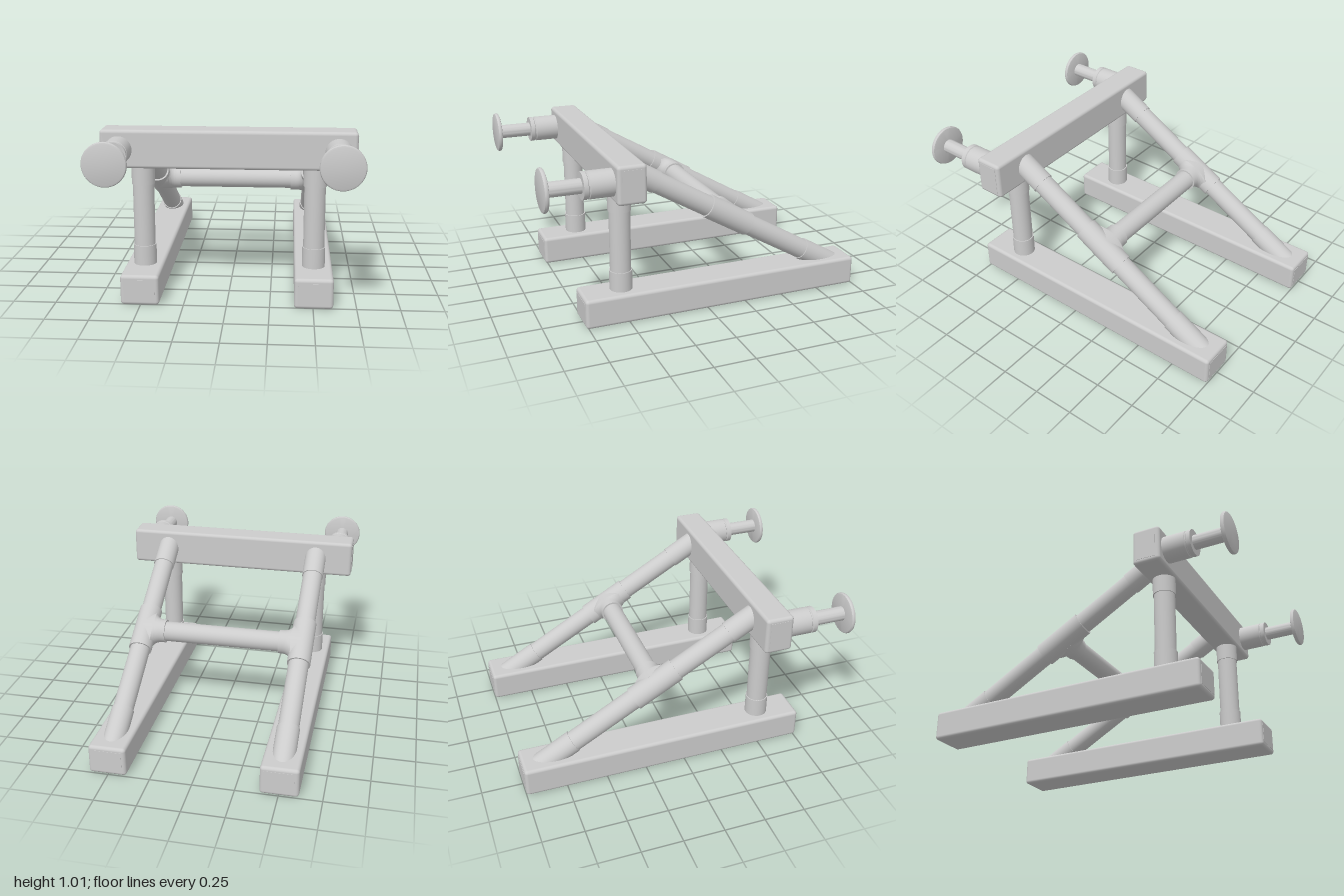
import * as THREE from 'three';
import { RoundedBoxGeometry } from 'three/addons/geometries/RoundedBoxGeometry.js';
import { toCreasedNormals } from 'three/addons/utils/BufferGeometryUtils.js';

const mat = new THREE.MeshStandardMaterial({ color: 0xcccccc });
const UP = new THREE.Vector3(0, 1, 0);
const V = (x, y, z) => new THREE.Vector3(x, y, z);

function add(parent, name, geometry) {
  const mesh = new THREE.Mesh(geometry, mat);
  mesh.name = name;
  parent.add(mesh);
  return mesh;
}

// Straight round pipe between two points
function pipe(parent, name, a, b, r) {
  const mesh = add(parent, name, new THREE.CylinderGeometry(r, r, a.distanceTo(b), 40));
  mesh.position.copy(a).lerp(b, 0.5);
  mesh.quaternion.setFromUnitVectors(UP, b.clone().sub(a).normalize());
  return mesh;
}

// Rectangular rail along z with soft edges and a plug in each end
function rail(parent, name, w, h, length) {
  const group = new THREE.Group();
  group.name = name;
  add(group, 'railTube', new RoundedBoxGeometry(w, h, length, 4, 0.02));
  for (const s of [-1, 1]) {
    add(group, 'endPlug', new THREE.BoxGeometry(w - 0.05, h - 0.05, 0.01)).position.z = s * (length / 2 - 0.003);
  }
  parent.add(group);
  return group;
}

// Turned part along +z from [radius, z] points
function turned(parent, name, points) {
  const g = new THREE.LatheGeometry(points.map(([r, z]) => new THREE.Vector2(r, z)), 48);
  g.rotateX(Math.PI / 2);
  return add(parent, name, toCreasedNormals(g, 0.6));
}

// Tee branch along +y whose root flares along z into the run of the tee
function teeBranch() {
  const length = 0.14, r = 0.073;
  const g = new THREE.CylinderGeometry(r, r, length, 40, 28);
  g.translate(0, length / 2, 0);
  const p = g.attributes.position;
  for (let i = 0; i < p.count; i++) {
    const t = Math.min(1, Math.max(0, (0.118 - p.getY(i)) / 0.055));
    const flare = 0.05 * (1 - Math.sqrt(1 - t * t));
    p.setZ(i, p.getZ(i) * (1 + flare / r));
  }
  g.computeVertexNormals();
  return toCreasedNormals(g, 0.6);
}

export function createModel() {
  const model = new THREE.Group();
  const PIPE = 0.0625, SOCKET = 0.068;
  const slope = Math.tan(Math.PI / 6);
  const onBrace = (x, z) => V(x, 0.81 + (z - 0.3) * slope, z);

  // Top beam
  const beam = rail(model, 'topBeam', 0.17, 0.226, 1.48);
  beam.rotation.y = Math.PI / 2;
  beam.position.set(0, 0.887, 0.515);

  for (const s of [-1, 1]) {
    const x = 0.503 * s;
    const side = new THREE.Group();
    side.name = s > 0 ? 'leftSide' : 'rightSide';
    model.add(side);

    // Floor rail
    rail(side, 'footRail', 0.225, 0.18, 1.765).position.set(x, 0.09, -0.1175);

    // Upright post with its sockets
    pipe(side, 'post', V(x, 0.15, 0.52), V(x, 0.8, 0.52), PIPE);
    pipe(side, 'postLowerSocket', V(x, 0.15, 0.52), V(x, 0.3, 0.52), SOCKET);
    pipe(side, 'postUpperSocket', V(x, 0.67, 0.52), V(x, 0.8, 0.52), SOCKET);

    // Sloping brace, its sockets and the tee
    pipe(side, 'brace', onBrace(x, -0.85), onBrace(x, 0.48), PIPE);
    pipe(side, 'braceLowerSocket', onBrace(x, -0.91), onBrace(x, -0.675), SOCKET);
    pipe(side, 'braceUpperSocket', onBrace(x, 0.3), onBrace(x, 0.5), SOCKET);
    pipe(side, 'teeRun', onBrace(x, -0.292), onBrace(x, -0.028), 0.072);

    const branch = add(side, 'teeBranch', teeBranch());
    branch.position.copy(onBrace(x, -0.16));
    const inward = V(-s, 0, 0), along = V(0, slope, 1).normalize();
    branch.quaternion.setFromRotationMatrix(
      new THREE.Matrix4().makeBasis(inward.clone().cross(along), inward, along));

    // Adjustable pad on the front of the beam
    const pad = new THREE.Group();
    pad.name = 'pad';
    pad.position.set(0.632 * s, 0.885, 0);
    side.add(pad);
    turned(pad, 'padSocket', [
      [0, 0.59], [0.079, 0.59], [0.079, 0.738], [0.074, 0.742], [0.074, 0.747],
      [0.079, 0.751], [0.079, 0.776], [0, 0.776]]);
    turned(pad, 'padStem', [[0, 0.75], [0.043, 0.75], [0.043, 0.985], [0, 0.985]]);
    turned(pad, 'padDisc', [
      [0, 0.973], [0.112, 0.973], [0.12, 0.976], [0.124, 0.983],
      [0.124, 0.99], [0.12, 0.997], [0.112, 1], [0, 1]]);
  }

  // Cross bar between the tees
  pipe(model, 'crossBar', onBrace(-0.42, -0.16), onBrace(0.42, -0.16), PIPE);
  return model;
}
